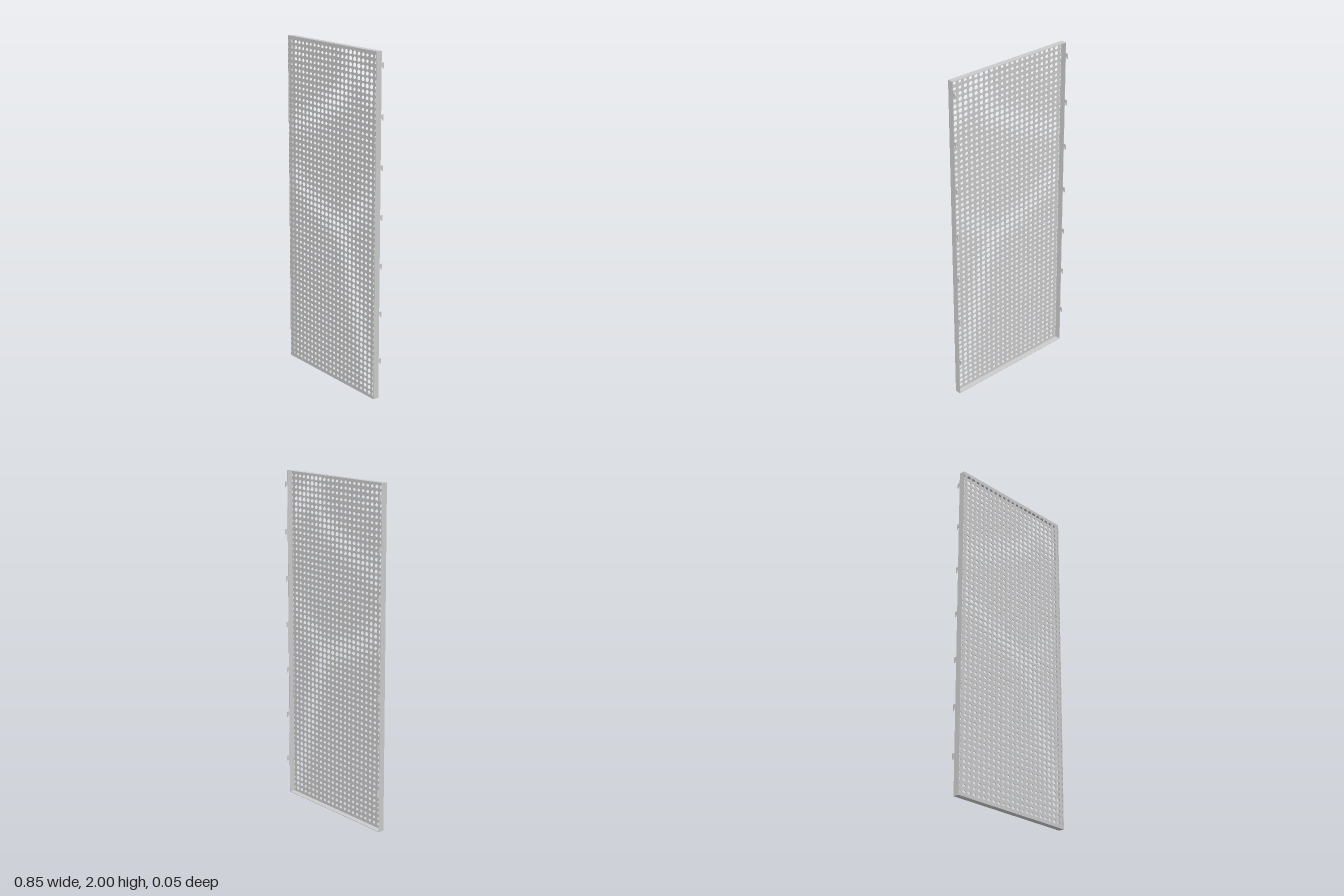
import * as THREE from 'three';

const W = 0.425, H = 2, FRONT = 0.026, BACK = -0.01, HOOK_BACK = -0.026, T = 0.003;
const PITCH_X = 0.0383, PITCH_Y = 0.0335, ROWS = 59;

// Crease lines along which the perforation opens up: [x1, y1, x2, y2, strength at 1, strength at 2]
const creases = [
  [-0.42, 1.46, -0.18, 1.56, 0.6, 0.7],
  [-0.18, 1.56, 0.12, 1.72, 0.7, 1],
  [0.12, 1.72, 0.22, 1.95, 0.9, 0.7],
  [0.18, 1.98, 0.42, 1.75, 0.9, 1],
  [-0.42, 1.22, -0.2, 1.06, 0.6, 0.8],
  [-0.2, 1.06, 0.12, 0.94, 0.8, 1],
  [0.12, 0.94, 0.21, 0.72, 1, 0.8],
  [0.21, 0.72, 0.27, 0.46, 0.8, 0.8],
  [0.27, 0.46, 0.4, 0.06, 0.8, 0.9],
  [0.12, 0.94, 0.42, 1.25, 0.9, 0.3],
  [-0.42, 1.98, -0.3, 1.88, 0.8, 0.3],
];

// Opening factor 0..1 at a point of the face
function opening(x, y) {
  let best = 0;
  for (const [x1, y1, x2, y2, s1, s2] of creases) {
    const dx = x2 - x1, dy = y2 - y1;
    const t = THREE.MathUtils.clamp(((x - x1) * dx + (y - y1) * dy) / (dx * dx + dy * dy), 0, 1);
    const d = Math.hypot(x - x1 - t * dx, y - y1 - t * dy);
    best = Math.max(best, (s1 + (s2 - s1) * t) * Math.max(0, 1 - d / 0.11));
  }
  return best;
}

function rectangle(x0, y0, x1, y1) {
  return new THREE.Shape([[x0, y0], [x1, y0], [x1, y1], [x0, y1]].map(p => new THREE.Vector2(...p)));
}

export function createModel() {
  const model = new THREE.Group();
  model.name = 'perforatedPanel';
  const material = new THREE.MeshStandardMaterial({ color: 0xcccccc });
  const add = (name, geometry, x = 0, y = 0, z = 0) => {
    const mesh = new THREE.Mesh(geometry, material);
    mesh.name = name;
    mesh.position.set(x, y, z);
    model.add(mesh);
    return mesh;
  };

  // Front sheet with a grid of holes of varying size; the outer columns are cut narrow by the bend
  const sheet = rectangle(-W, 0, W, H);
  for (let row = 0; row < ROWS; row++) {
    const y = H / 2 + (row - (ROWS - 1) / 2) * PITCH_Y;
    for (let col = -11; col <= 11; col++) {
      const edge = Math.abs(col) === 11;
      const x = edge ? Math.sign(col) * 0.417 : col * PITCH_X;
      const k = opening(x, y);
      const hole = new THREE.Path();
      hole.absellipse(x, y, edge ? 0.0045 : 0.0115 + 0.004 * k, 0.0085 + 0.0055 * k, 0, Math.PI * 2, true);
      sheet.holes.push(hole);
    }
  }
  add('faceSheet', new THREE.ExtrudeGeometry(sheet, { depth: T, bevelEnabled: false, curveSegments: 6 }), 0, 0, FRONT - T);

  // Flanges folded back around the four edges
  const depth = FRONT - T - BACK, zMid = BACK + depth / 2;
  for (const s of [-1, 1]) {
    add(s > 0 ? 'leftFlange' : 'rightFlange', new THREE.BoxGeometry(T, H, depth), s * (W - T / 2), H / 2, zMid);
    add(s > 0 ? 'topFlange' : 'bottomFlange', new THREE.BoxGeometry(2 * (W - T), T, depth), 0, H / 2 + s * (H / 2 - T / 2), zMid);
  }

  // Hanging hooks: flat tabs with a finger pointing down, drawn as (distance behind flange, height)
  const reach = BACK - HOOK_BACK;
  const profile = new THREE.Shape([
    [-0.002, 0.016], [reach, 0.016], [reach, -0.016], [reach - 0.009, -0.016], [reach - 0.009, -0.006], [-0.002, -0.006],
  ].map(p => new THREE.Vector2(...p)));
  const hookGeometry = new THREE.ExtrudeGeometry(profile, { depth: T, bevelEnabled: false });
  hookGeometry.rotateY(Math.PI / 2);
  for (const s of [-1, 1]) {
    for (let i = 0; i < 7; i++) {
      add(s > 0 ? 'leftHook' : 'rightHook', hookGeometry, s > 0 ? W - T : -W, 0.225 + i * 0.2825, BACK);
    }
  }
  return model;
}
